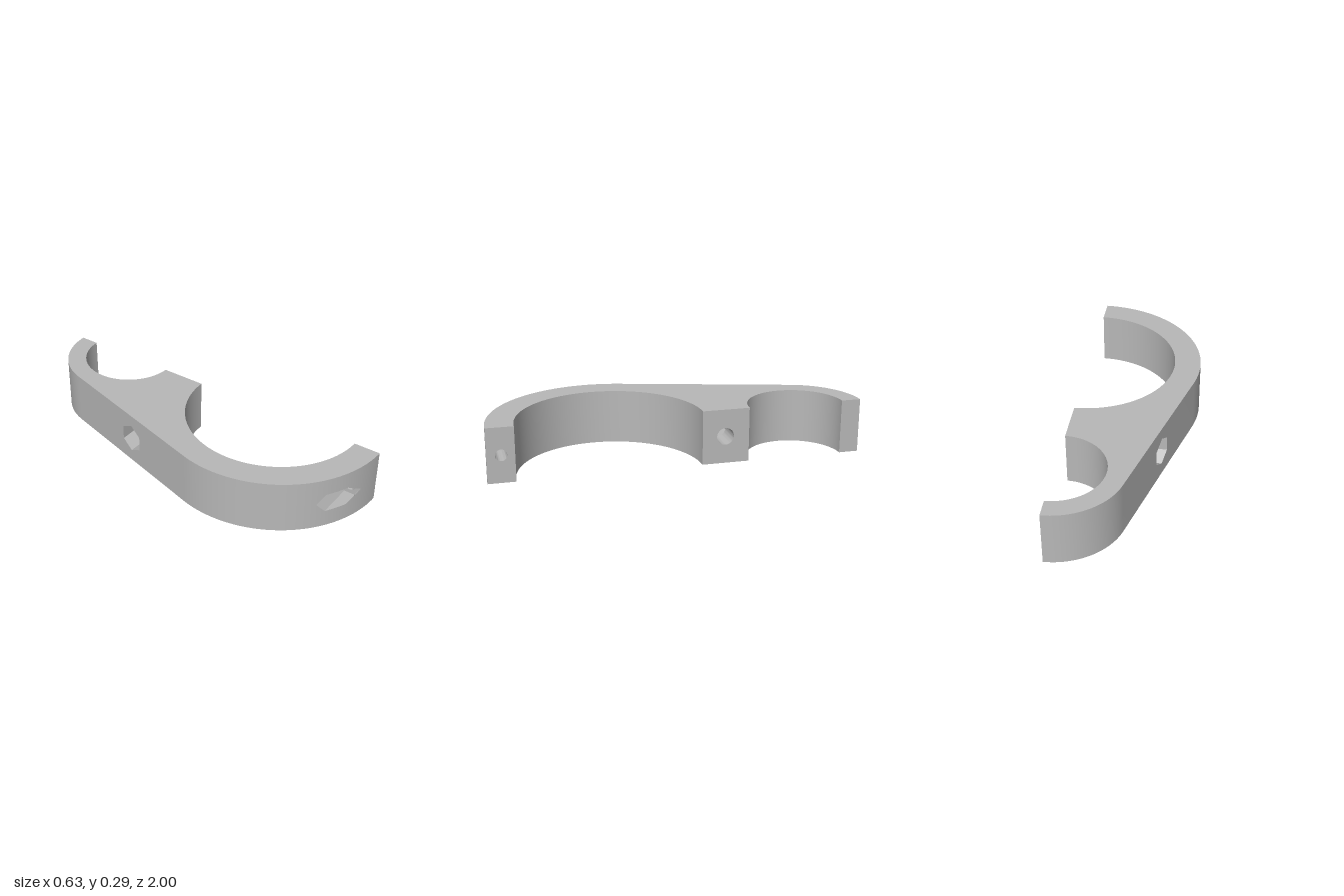
import * as THREE from 'three';
import { toCreasedNormals } from 'three/addons/utils/BufferGeometryUtils.js';

const H = 0.295, MID = H / 2, FACE = 0.315, FLOOR = 0.17;
const big = { z: 0.367, outer: 0.633, inner: 0.488 };
const small = { z: -0.635, outer: 0.365, inner: 0.26 };
const S3 = Math.sqrt(3);

// Openings: half height of the cut at distance d from its axis
const boltA = { z: 0.925, w: 0.031, h: d => Math.sqrt(Math.max(0, 0.031 ** 2 - d * d)) };
const boltB = { z: -0.245, w: 0.046, h: d => Math.sqrt(Math.max(0, 0.046 ** 2 - d * d)) };
const RA = 0.0606, RB = 0.082;
const nutA = { z: 0.925, w: RA, h: d => Math.max(0, Math.min(RA * S3 / 2, S3 * (RA - Math.abs(d)))) };
const nutB = { z: -0.245, w: RB * S3 / 2, h: d => RB - Math.abs(d) / S3 };
// the first nut pocket runs out of the curved wall before its far corner
const nutAEnd = big.z + Math.sqrt(big.outer ** 2 - (FACE - FLOOR) ** 2);

function quad(out, a, b, c, d) {
  out.push(...a, ...b, ...c, ...a, ...c, ...d);
}

// Upright wall along a path of [x, z]; an opening splits it and is lined back to the pocket floor
function wall(path, wallOut, liningOut, cut, zMax = Infinity) {
  for (let i = 0; i < path.length - 1; i++) {
    const p = path[i], q = path[i + 1];
    const at = (v, y) => [v[0], y, v[1]];
    const deep = (v, y) => [FLOOR, y, v[1]];
    const face = (p0, p1, q0, q1) => quad(wallOut, at(p, p0), at(p, p1), at(q, q1), at(q, q0));
    const zm = (p[1] + q[1]) / 2;
    if (!cut || Math.abs(zm - cut.z) > cut.w || zm > zMax) {
      face(0, H, 0, H);
      continue;
    }
    const hp = cut.h(p[1] - cut.z), hq = cut.h(q[1] - cut.z);
    face(0, MID - hp, 0, MID - hq);
    face(MID + hp, H, MID + hq, H);
    quad(liningOut, at(p, MID - hp), deep(p, MID - hp), deep(q, MID - hq), at(q, MID - hq));
    quad(liningOut, at(p, MID + hp), at(q, MID + hq), deep(q, MID + hq), deep(p, MID + hp));
    // upright sides of the opening
    for (const [v, h, flip] of [[p, hp, false], [q, hq, true]]) {
      const edge = Math.abs(Math.abs(v[1] - cut.z) - cut.w) < 1e-6;
      if (!edge || h < 0.002) continue;
      const c = [at(v, MID - h), at(v, MID + h), deep(v, MID + h), deep(v, MID - h)];
      if (flip) c.reverse();
      quad(liningOut, ...c);
    }
  }
}

// Arc bulging to -x; extra angles keep the corners of an opening exact
function arc(cz, r, from, to, n, extra = []) {
  const angles = [...extra];
  for (let i = 0; i <= n; i++) angles.push(from + (to - from) * i / n);
  angles.sort((a, b) => (from > to ? b - a : a - b));
  return angles.map(a => [FACE - r * Math.cos(a), cz + r * Math.sin(a)]);
}

// Straight run between two points with columns at the given z values
function straight(a, b, zs = []) {
  const mids = zs.map(z => [a[0] + (b[0] - a[0]) * (z - a[1]) / (b[1] - a[1]), z]);
  return [a, ...mids, b];
}

function circleColumns(cut, dir) {
  const zs = [];
  for (let i = 0; i <= 24; i++) zs.push(cut.z - dir * cut.w * Math.cos(Math.PI * i / 24));
  return zs;
}

function meshFrom(name, positions, material) {
  const g = new THREE.BufferGeometry();
  g.setAttribute('position', new THREE.Float32BufferAttribute(positions, 3));
  g.computeVertexNormals();
  const mesh = new THREE.Mesh(toCreasedNormals(g, 0.4), material);
  mesh.name = name;
  return mesh;
}

export function createModel() {
  const group = new THREE.Group();
  group.name = 'doubleClamp';
  const grey = new THREE.MeshStandardMaterial({ color: 0xb8b8b8, side: THREE.DoubleSide });
  grey.name = 'grey';

  // Outline of the clamp half, section by section
  const Q = Math.PI / 2;
  const tilt = -Math.asin((big.outer - small.outer) / (big.z - small.z));
  const corners = [nutA.z - RA, nutA.z - RA / 2, nutA.z, nutA.z + RA / 2, nutAEnd]
    .map(z => Math.asin((z - big.z) / big.outer));
  const bigOuter = arc(big.z, big.outer, Q, tilt, 72, corners);
  const smallOuter = arc(small.z, small.outer, tilt, -Q, 40);
  const smallInner = arc(small.z, small.inner, -Q, Q, 56);
  const bigInner = arc(big.z, big.inner, -Q, Q, 72);
  const last = a => a[a.length - 1];
  const back = straight(last(bigOuter), smallOuter[0], [nutB.z + nutB.w, nutB.z, nutB.z - nutB.w]);
  const tip = straight(last(smallOuter), smallInner[0]);
  const middle = straight(last(smallInner), bigInner[0], circleColumns(boltB, 1));
  const end = straight(last(bigInner), bigOuter[0], circleColumns(boltA, 1));

  // Walls, nut pockets and bolt holes
  const outer = [], inner = [], joint = [], pockets = [], bolts = [];
  wall(bigOuter, outer, pockets, nutA, nutAEnd);
  wall(back, outer, pockets, nutB);
  wall(smallOuter, outer);
  wall(smallInner, inner);
  wall(bigInner, inner);
  wall(tip, joint);
  wall(middle, joint, bolts, boltB);
  wall(end, joint, bolts, boltA);
  group.add(
    meshFrom('outerWall', outer, grey),
    meshFrom('clampBores', inner, grey),
    meshFrom('jointFaces', joint, grey),
    meshFrom('nutPockets', pockets, grey),
    meshFrom('boltHoles', bolts, grey),
  );

  // Flat upper and lower faces
  const outline = [bigOuter, back, smallOuter, tip, smallInner, middle, bigInner, end]
    .flatMap(s => s.slice(0, -1));
  for (const [name, sign, y] of [['upperFace', -1, H], ['lowerFace', 1, 0]]) {
    const shape = new THREE.Shape(outline.map(([x, z]) => new THREE.Vector2(x, sign * z)));
    const g = new THREE.ShapeGeometry(shape).rotateX(sign * Q).translate(0, y, 0);
    const mesh = new THREE.Mesh(g, grey);
    mesh.name = name;
    group.add(mesh);
  }

  // Pocket floors pierced by the bolt holes
  for (const [name, z, R, turn, r] of [['nutSeatFront', nutA.z, RA, 0, boltA.w], ['nutSeatMiddle', nutB.z, RB, Q, boltB.w]]) {
    const pts = [];
    for (let i = 0; i < 6; i++) {
      const a = turn + i * Math.PI / 3, pz = z + R * Math.cos(a);
      pts.push(new THREE.Vector2(name === 'nutSeatFront' ? Math.min(pz, nutAEnd) : pz, MID + R * Math.sin(a)));
    }
    const shape = new THREE.Shape(pts);
    shape.holes.push(new THREE.Path().absarc(z, MID, r, 0, Math.PI * 2, true));
    const mesh = new THREE.Mesh(new THREE.ShapeGeometry(shape, 24).rotateY(-Q).translate(FLOOR, 0, 0), grey);
    mesh.name = name;
    group.add(mesh);
  }
  return group;
}
